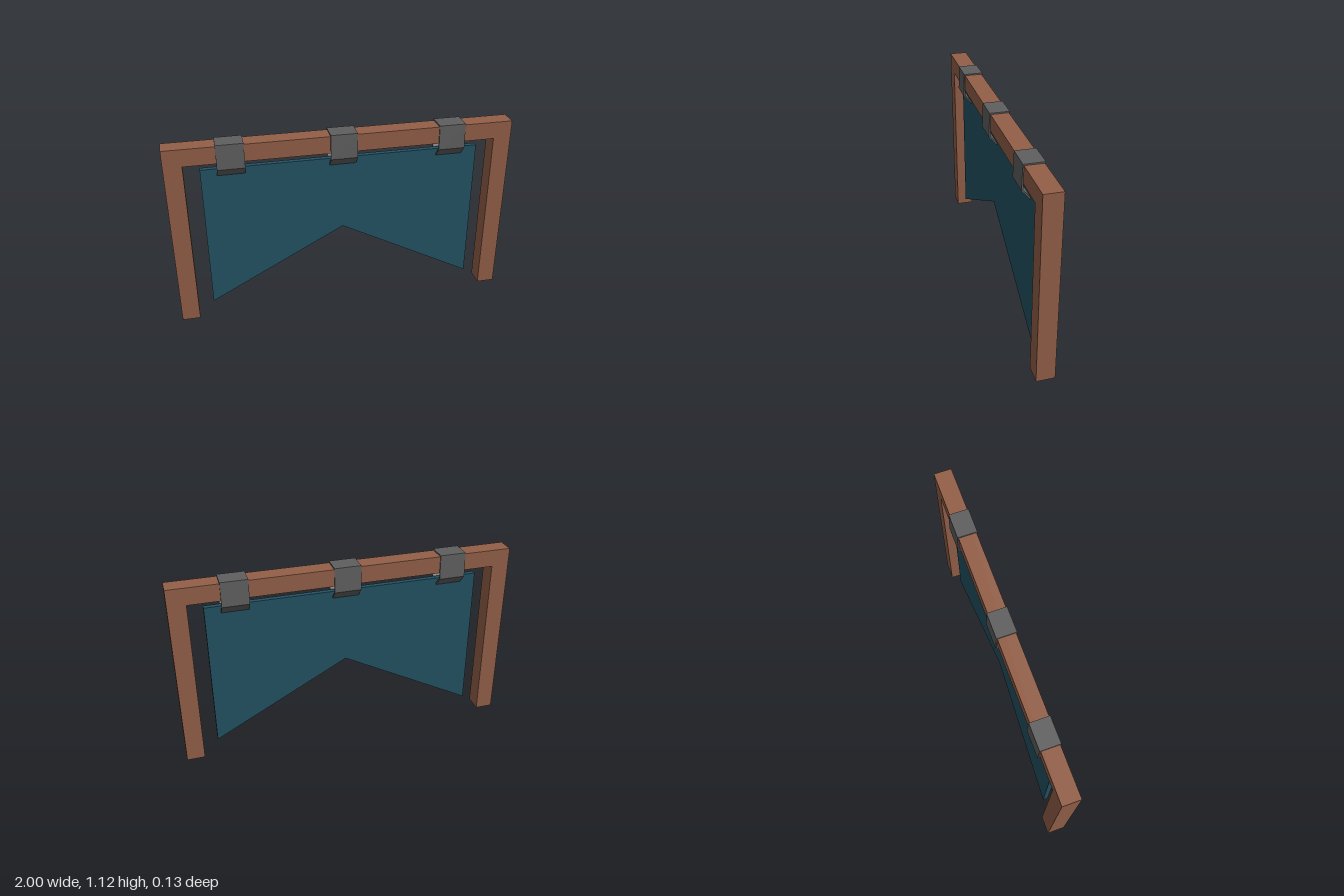
import * as THREE from 'three';

const mat = (name, color) => {
  const m = new THREE.MeshStandardMaterial({ color });
  m.name = name;
  return m;
};

// Extrudes a closed outline, centred on z = 0
function slab(name, points, depth, material) {
  const shape = new THREE.Shape(points.map(([x, y]) => new THREE.Vector2(x, y)));
  const geo = new THREE.ExtrudeGeometry(shape, { depth, bevelEnabled: false });
  geo.translate(0, 0, -depth / 2);
  const mesh = new THREE.Mesh(geo, material);
  mesh.name = name;
  return mesh;
}

export function createModel() {
  const wood = mat('brown wood', 0x935f48);
  const cloth = mat('teal cloth', 0x235264);
  const iron = mat('grey strap', 0x5f5f5f);

  const model = new THREE.Group();
  model.name = 'hangingBanner';

  // Two posts joined by a top beam
  model.add(slab('frame', [
    [-1, 0], [-0.895, 0], [-0.895, 1.015], [0.895, 1.015],
    [0.895, 0], [1, 0], [1, 1.117], [-1, 1.117],
  ], 0.105, wood));

  // Swallow-tailed banner
  model.add(slab('banner', [
    [-0.805, 0.085], [0, 0.515], [0.805, 0.085], [0.805, 0.968], [-0.805, 0.968],
  ], 0.03, cloth));

  // Straps folded over the beam, their ends bent in to grip the banner
  const outer = [[0.012, 0.922], [0.063, 0.98], [0.058, 1.125]];
  const inner = [[0.053, 1.117], [0.054, 0.983], [0.012, 0.935]];
  const mirror = (pts) => pts.map(([z, y]) => [-z, y]).reverse();
  const profile = [...outer, ...mirror(outer), ...mirror(inner), ...inner];
  for (const x of [-0.635, 0, 0.635]) {
    const strap = slab('strap', profile, 0.155, iron);
    strap.rotation.y = Math.PI / 2;
    strap.position.x = x;
    model.add(strap);
  }
  return model;
}
